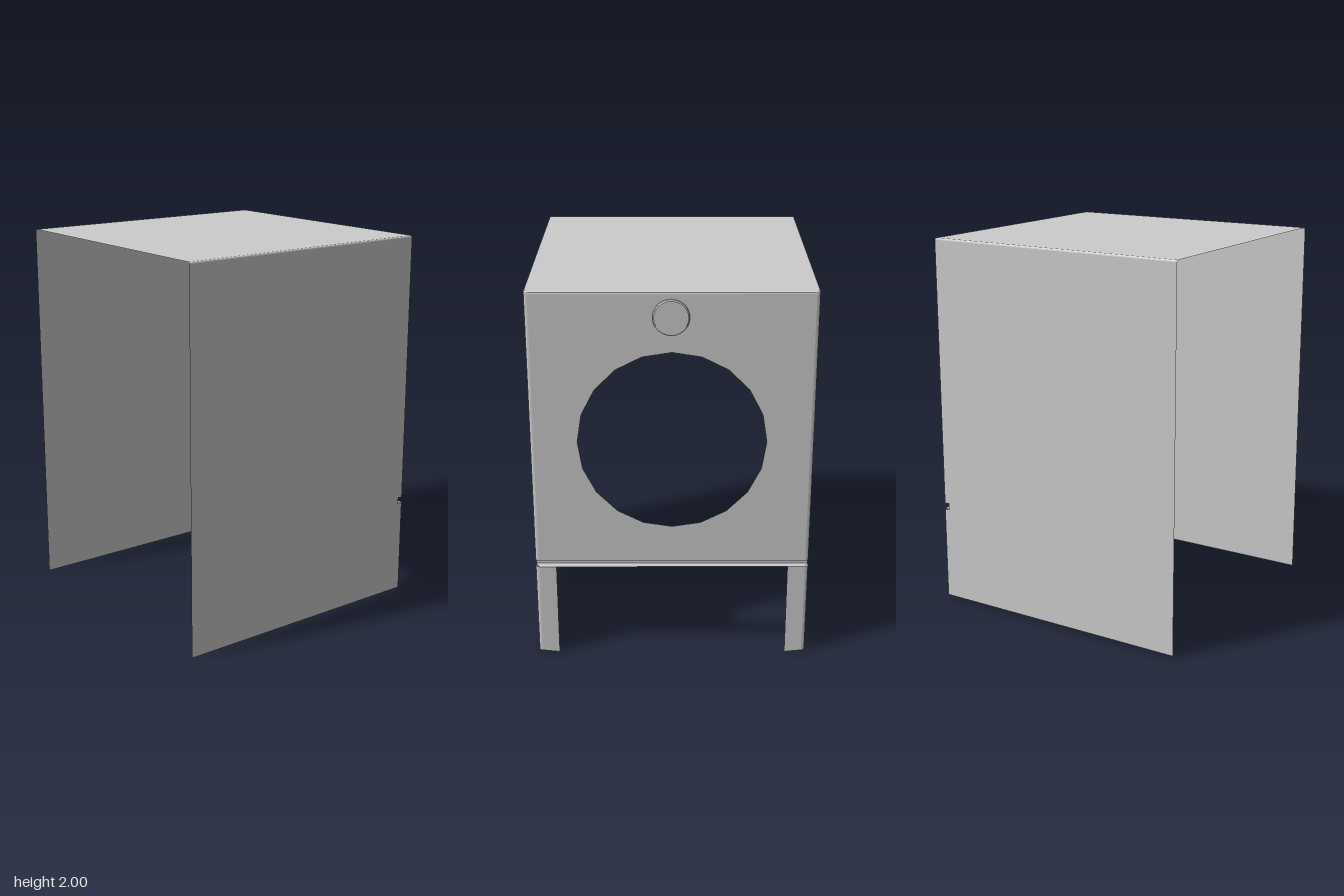
import * as THREE from 'three';

const W = 0.705, H = 2, FRONT = 0.735, BACK = -0.72;
const GROOVE = { top: 0.55, bottom: 0.515, z: -0.682 };
const BEND = 0.018; // radius of the folded sheet edges at the back

export function createModel() {
  const group = new THREE.Group();
  const mat = new THREE.MeshStandardMaterial({ color: 0xcccccc, side: THREE.DoubleSide, flatShading: true });
  const add = (name, geo) => {
    const mesh = new THREE.Mesh(geo, mat);
    mesh.name = name;
    group.add(mesh);
    return mesh;
  };

  // Sheet surface through rows of matching points
  const sheet = (rows) => {
    const pos = [];
    for (let r = 0; r < rows.length - 1; r++) {
      for (let i = 0; i < rows[r].length - 1; i++) {
        const a = rows[r][i], b = rows[r][i + 1], c = rows[r + 1][i + 1], d = rows[r + 1][i];
        pos.push(...a, ...b, ...c, ...a, ...c, ...d);
      }
    }
    const geo = new THREE.BufferGeometry();
    geo.setAttribute('position', new THREE.Float32BufferAttribute(pos, 3));
    geo.computeVertexNormals();
    return geo;
  };

  // Inverted U outline: up the left wall, over the top, down the right wall
  const outline = (inset, y0) => {
    const w = W - inset, h = H - inset, r = 0.01, half = [[w, y0]];
    for (let i = 0; i <= 3; i++) {
      const a = (i / 3) * Math.PI / 2;
      half.push([w - r + r * Math.cos(a), h - r + r * Math.sin(a)]);
    }
    return [...half, ...half.slice().reverse().map(([x, y]) => [-x, y])];
  };
  const at = (pts, z) => pts.map(([x, y]) => [x, y, z]);

  // Depth and inset steps around the folded back edge
  const fold = [0, 1, 2, 3].map((i) => {
    const a = (i / 3) * Math.PI / 2;
    return { z: BACK + BEND - BEND * Math.sin(a), inset: BEND * (1 - Math.cos(a)) };
  });

  // Side walls and top, in front of the groove
  add('casingWalls', sheet([FRONT, GROOVE.z].map((z) => at(outline(0, 0.01), z))));

  // Walls behind the groove line, folding into the back panel
  const steps = [{ z: GROOVE.z, inset: 0 }, ...fold];
  add('upperFold', sheet(steps.map((s) => at(outline(s.inset, GROOVE.top), s.z))));

  // Back panel with a twenty-sided opening
  const panel = new THREE.Shape(outline(BEND, GROOVE.top).map(([x, y]) => new THREE.Vector2(x, y)));
  const hole = [];
  for (let i = 0; i < 20; i++) {
    const a = -i * Math.PI / 10;
    hole.push(new THREE.Vector2(0.47 * Math.cos(a), 1.22 + 0.47 * Math.sin(a)));
  }
  panel.holes.push(new THREE.Path(hole));
  add('backPanel', new THREE.ShapeGeometry(panel)).position.z = BACK;

  // Recessed channel across the back
  const channel = [
    [GROOVE.top, BACK], [GROOVE.top, GROOVE.z], [GROOVE.bottom, GROOVE.z], [GROOVE.bottom, BACK],
  ];
  add('backChannel', sheet(channel.map(([y, z]) => {
    const x = z === BACK ? W - BEND : W;
    return [[-x, y, z], [x, y, z]];
  })));

  // Folded leg strips below the channel
  for (const s of [1, -1]) {
    const rows = steps.map(({ z, inset }) => [
      [s * (W - inset), 0.01, z], [s * (W - inset), GROOVE.bottom, z],
    ]);
    rows.push([[s * 0.597, 0, BACK], [s * 0.597, GROOVE.bottom, BACK]]);
    add(s > 0 ? 'leftLeg' : 'rightLeg', sheet(rows));
  }

  // Round disc above the opening
  const profile = [[0.09, 0], [0.09, 0.011], [0.084, 0.015], [0, 0.015]];
  const disc = add('roundDisc', new THREE.LatheGeometry(profile.map(([x, y]) => new THREE.Vector2(x, y)), 24));
  disc.rotation.x = -Math.PI / 2;
  disc.position.set(0.004, 1.868, BACK);

  return group;
}
